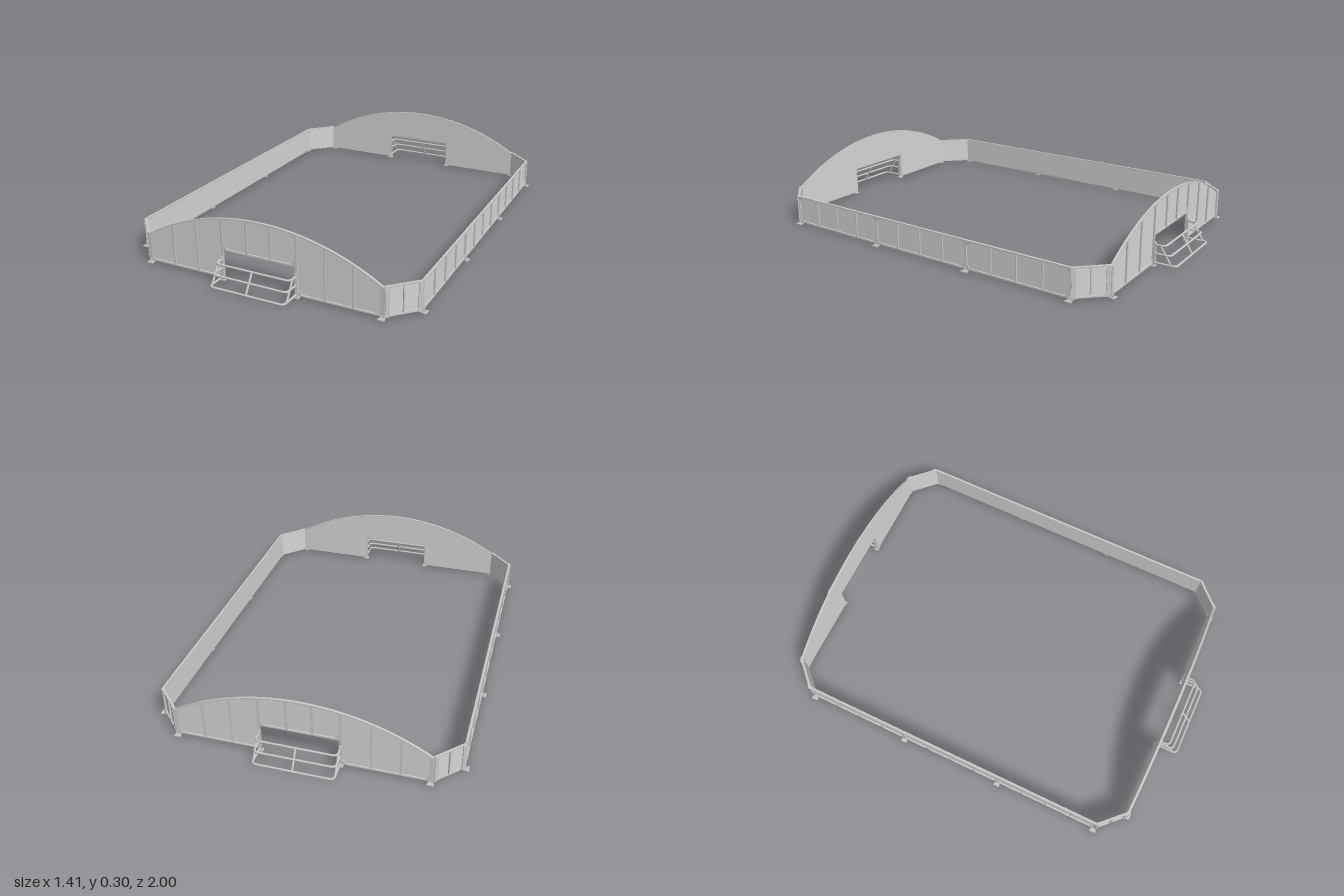
import * as THREE from 'three';

const panelMat = new THREE.MeshStandardMaterial({ color: 0xd6d6d6 });
panelMat.name = 'light grey panel';
const frameMat = new THREE.MeshStandardMaterial({ color: 0xc8c8c8 });
frameMat.name = 'grey metal frame';

const LOW = 0.01, HIGH = 0.14;      // bottom and top of the boards
const HALF = 0.57, GOAL = 0.18;     // half widths of the end wall and goal mouth
const RADIUS = 1.077;
const arcY = (x) => 0.298 - RADIUS + Math.sqrt(RADIUS * RADIUS - x * x);

function add(group, name, geometry, material, x = 0, y = 0, z = 0) {
  const mesh = new THREE.Mesh(geometry, material);
  mesh.name = name;
  mesh.position.set(x, y, z);
  group.add(mesh);
  return mesh;
}

const box = (group, name, mat, w, h, d, x, y, z) =>
  add(group, name, new THREE.BoxGeometry(w, h, d), mat, x, y, z);

function plate(group, name, mat, points, depth, z) {
  const shape = new THREE.Shape(points.map(([x, y]) => new THREE.Vector2(x, y)));
  const geo = new THREE.ExtrudeGeometry(shape, { depth, bevelEnabled: false });
  return add(group, name, geo, mat, 0, 0, z);
}

// Upright on the outer side of a board
function rib(g, x, y0, y1, w) {
  box(g, 'rib', frameMat, w, y1 - y0, 0.008, x, (y0 + y1) / 2, 0.007);
}

function rail(g, x0, x1, y) {
  box(g, 'rail', frameMat, x1 - x0, 0.007, 0.011, (x0 + x1) / 2, y, 0.0055);
}

// Triangular corner stiffener; sx and sy point into the bay
function gusset(g, x, y, sx, sy, s = 0.024) {
  const pts = [[x, y], [x + sx * s, y], [x, y + sy * s]];
  plate(g, 'gusset', frameMat, pts, 0.003, 0.007);
}

// Ground plate with a slim upright fin
function foot(g, x) {
  const base = plate(g, 'footPlate', frameMat,
    [[x - 0.009, 0], [x + 0.009, 0], [x + 0.016, -0.028], [x - 0.016, -0.028]], 0.005, 0);
  base.rotation.x = -Math.PI / 2;
  box(g, 'footStem', frameMat, 0.018, 0.016, 0.01, x, 0.008, 0.006);
  const fin = plate(g, 'footFin', frameMat,
    [[0.002, 0.004], [0.024, 0.004], [0.002, 0.035]], 0.004, 0);
  fin.rotation.y = -Math.PI / 2;
  fin.position.set(x + 0.002, 0, 0);
}

// Straight board section with ribs and rails, local z pointing outward
function board(g, x0, x1, bays) {
  box(g, 'panel', panelMat, x1 - x0, HIGH - LOW, 0.004, (x0 + x1) / 2, (LOW + HIGH) / 2, 0.002);
  rail(g, x0, x1, LOW + 0.003);
  rail(g, x0, x1, HIGH);
  for (let i = 0; i <= bays; i++) {
    rib(g, x0 + (x1 - x0) * i / bays, LOW, HIGH, i % bays ? 0.006 : 0.01);
  }
  for (const [x, s] of [[x0, 1], [x1, -1]]) {
    gusset(g, x, LOW + 0.004, s, 1);
    gusset(g, x, HIGH - 0.002, s, -1);
  }
}

function sideWall() {
  const g = new THREE.Group();
  g.name = 'sideWall';
  const edges = [-0.77, -0.257, 0.257, 0.77];
  for (let i = 0; i < 3; i++) board(g, edges[i], edges[i + 1], 4);
  edges.forEach((x) => foot(g, x));
  return g;
}

function cornerWall() {
  const g = new THREE.Group();
  g.name = 'cornerWall';
  board(g, -0.079, 0.079, 2);
  // Bolted joint plates at both ends
  for (const s of [-1, 1]) {
    box(g, 'jointPlate', frameMat, 0.018, 0.135, 0.004, s * 0.07, 0.076, 0.012);
    for (const y of [0.03, 0.122]) {
      const bolt = add(g, 'bolt', new THREE.CylinderGeometry(0.003, 0.003, 0.02, 8),
        frameMat, s * 0.07, y, 0.007);
      bolt.rotation.x = Math.PI / 2;
    }
  }
  return g;
}

// Goal cage: three bent bars, side struts and a centre bar
function goal() {
  const g = new THREE.Group();
  g.name = 'goal';
  const levels = [[0.017, 0.115], [0.06, 0.088], [0.1, 0.062]];
  const v = (x, y, z) => new THREE.Vector3(x, y, z);
  const bar = (name, path, segs) =>
    add(g, name, new THREE.TubeGeometry(path, segs, 0.005, 10), frameMat);
  for (const [y, z] of levels) {
    const r = 0.022;
    const path = new THREE.CurvePath();
    path.add(new THREE.LineCurve3(v(-GOAL, y, 0.006), v(-GOAL, y, z - r)));
    path.add(new THREE.QuadraticBezierCurve3(v(-GOAL, y, z - r), v(-GOAL, y, z), v(-GOAL + r, y, z)));
    path.add(new THREE.LineCurve3(v(-GOAL + r, y, z), v(GOAL - r, y, z)));
    path.add(new THREE.QuadraticBezierCurve3(v(GOAL - r, y, z), v(GOAL, y, z), v(GOAL, y, z - r)));
    path.add(new THREE.LineCurve3(v(GOAL, y, z - r), v(GOAL, y, 0.006)));
    bar('goalBar', path, 80);
  }
  const [low, , top] = levels;
  bar('centreBar', new THREE.LineCurve3(v(0, ...low), v(0, ...top)), 1);
  for (const s of [-1, 1]) {
    bar('sideStrut', new THREE.LineCurve3(
      v(s * GOAL, low[0], low[1] - 0.022), v(s * GOAL, top[0], top[1] - 0.022)), 1);
    box(g, 'goalPost', frameMat, 0.012, 0.11, 0.01, s * GOAL, 0.057, 0.014);
    box(g, 'goalFoot', frameMat, 0.024, 0.005, 0.022, s * GOAL, 0.0025, 0.011);
  }
  return g;
}

function endWall() {
  const g = new THREE.Group();
  g.name = 'endWall';
  const arc = [];
  for (let i = 0; i <= 40; i++) {
    const x = HALF - 2 * HALF * i / 40;
    arc.push([x, arcY(x)]);
  }
  // Arched panel with the goal mouth cut out
  plate(g, 'archPanel', panelMat, [[-HALF, LOW], [-GOAL, LOW], [-GOAL, HIGH],
    [GOAL, HIGH], [GOAL, LOW], [HALF, LOW], ...arc], 0.004, 0);
  plate(g, 'archRail', frameMat,
    [...arc.map(([x, y]) => [x, y + 0.003]), ...arc.map(([x, y]) => [x, y - 0.004]).reverse()],
    0.011, 0);
  rail(g, -GOAL, GOAL, HIGH + 0.003);
  for (const s of [-1, 1]) {
    rail(g, Math.min(s * GOAL, s * HALF), Math.max(s * GOAL, s * HALF), LOW + 0.003);
    rib(g, s * 0.057, HIGH, arcY(0.057), 0.01);
    rib(g, s * 0.31, LOW, arcY(0.31), 0.007);
    rib(g, s * 0.437, LOW, arcY(0.437), 0.01);
    rib(g, s * GOAL, LOW, arcY(GOAL), 0.01);
    rib(g, s * HALF, LOW, arcY(HALF), 0.01);
    gusset(g, s * GOAL, HIGH + 0.004, -s, 1, 0.028);
    gusset(g, s * GOAL, arcY(GOAL) - 0.003, -s, -1, 0.018);
    gusset(g, s * GOAL, LOW + 0.005, s, 1);
    gusset(g, s * HALF, LOW + 0.005, -s, 1, 0.03);
    box(g, 'jointPlate', frameMat, 0.018, 0.132, 0.003, s * 0.566, 0.076, 0.012);
    foot(g, s * 0.565);
  }
  g.add(goal());
  return g;
}

export function createModel() {
  const model = new THREE.Group();
  model.name = 'arena';
  for (const s of [-1, 1]) {
    const end = endWall();
    end.position.z = s * 0.88;
    end.rotation.y = s > 0 ? 0 : Math.PI;
    const side = sideWall();
    side.position.x = s * 0.678;
    side.rotation.y = s * Math.PI / 2;
    model.add(end, side);
    for (const t of [-1, 1]) {
      const corner = cornerWall();
      corner.position.set(s * 0.624, 0, t * 0.825);
      corner.rotation.y = Math.atan2(s * 0.11, t * 0.108);
      model.add(corner);
    }
  }
  return model;
}
